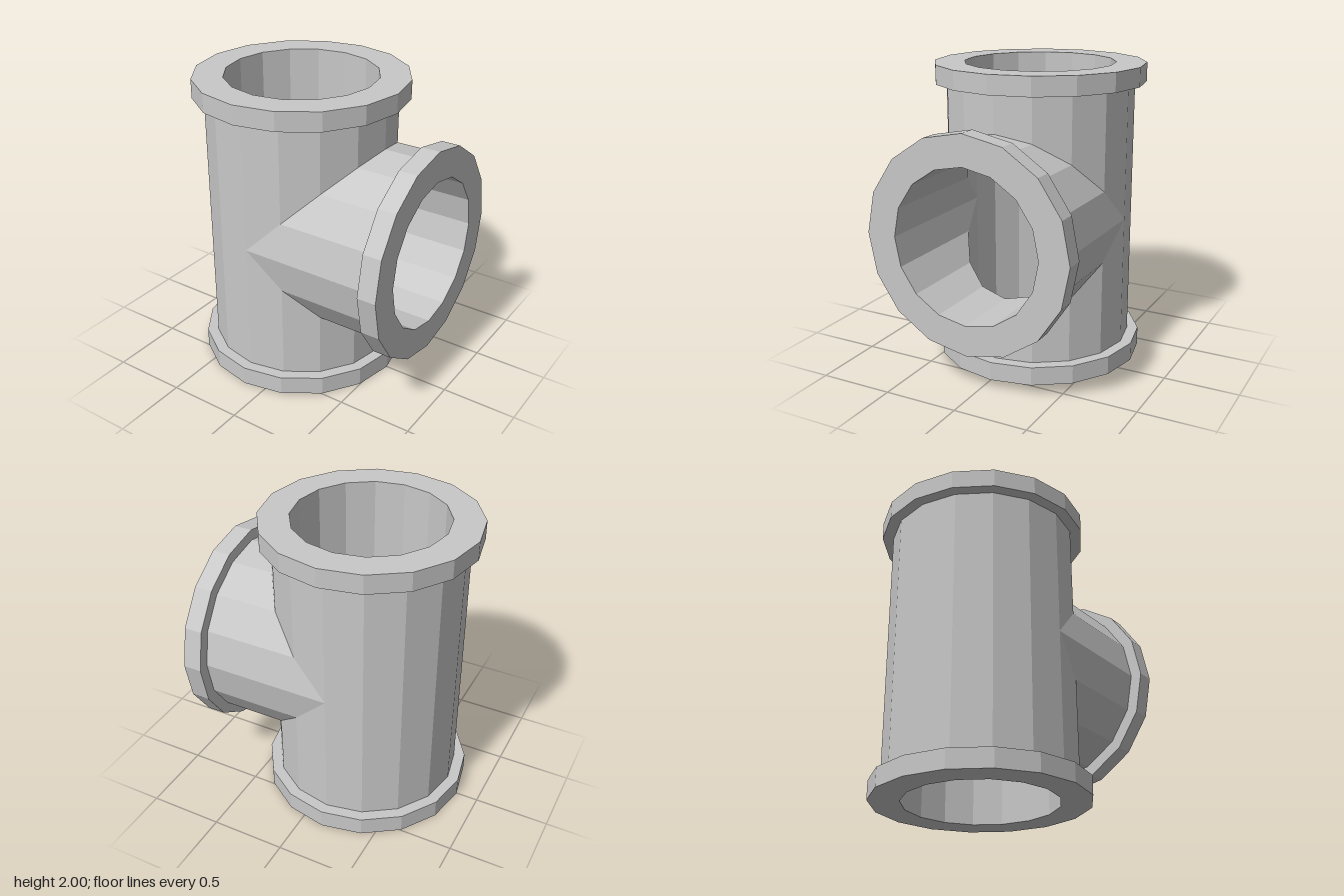
import * as THREE from 'three';

const SIDES = 16;
const AXIS_X = -0.15; // centre line of the upright pipe
const OUTER = 0.625, COLLAR = 0.7, BORE = 0.5;
const LENGTH = 1, COLLAR_START = 0.875;

// Faceted turned surface; points at height 0 are moved up to the mitre joint
function turned(profile, mitre) {
  const geometry = new THREE.LatheGeometry(profile.map(([r, y]) => new THREE.Vector2(r, y)), SIDES);
  const p = geometry.attributes.position;
  for (let i = 0; i < p.count; i++) {
    if (p.getY(i) === 0) p.setY(i, mitre(p.getX(i)));
  }
  geometry.computeVertexNormals();
  return geometry;
}

// One arm of the tee, running from the joint along local +y
function makeArm(name, mitre, material) {
  const arm = new THREE.Group();
  arm.name = name;
  const parts = {
    pipeWall: [[OUTER, 0], [OUTER, COLLAR_START]],
    collar: [[OUTER, COLLAR_START], [COLLAR, COLLAR_START], [COLLAR, LENGTH], [BORE, LENGTH]],
    bore: [[BORE, LENGTH], [BORE, 0]],
  };
  for (const [part, profile] of Object.entries(parts)) {
    const mesh = new THREE.Mesh(turned(profile, mitre), material);
    mesh.name = part;
    arm.add(mesh);
  }
  arm.position.set(AXIS_X, 1, 0);
  return arm;
}

export function createModel() {
  const material = new THREE.MeshStandardMaterial({ color: 0xc8c8c8, flatShading: true });
  material.name = 'light grey';

  const model = new THREE.Group();
  model.name = 'pipeTee';

  // Upright arms are cut at 45 degrees on the branch side only
  const uprightCut = (x) => Math.max(0, x);
  const upper = makeArm('upperArm', uprightCut, material);
  const lower = makeArm('lowerArm', uprightCut, material);
  lower.rotation.x = Math.PI;

  // Side branch is cut at 45 degrees above and below, forming a point
  const branch = makeArm('sideBranch', Math.abs, material);
  branch.rotation.z = -Math.PI / 2;

  model.add(upper, lower, branch);
  return model;
}
